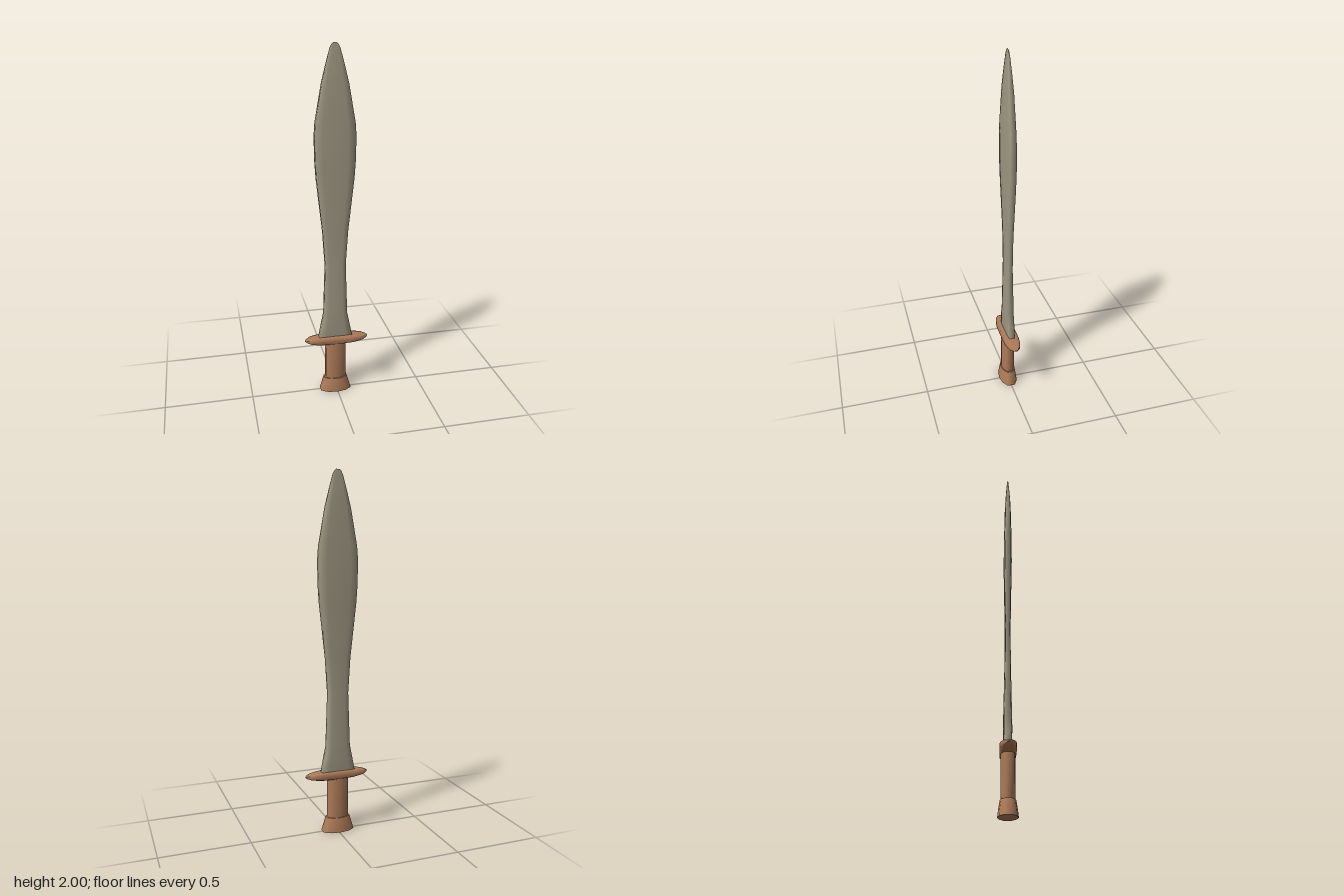
import * as THREE from 'three';

// Lofts a closed section (unit x/z points) through rings [y, halfWidth, halfDepth], with flat end caps.
function loft(section, rings) {
  const n = section.length, pos = [], idx = [];
  const addRing = ([y, w, d]) => section.forEach(([x, z]) => pos.push(x * w, y, z * d));
  rings.forEach(addRing);
  for (let i = 0; i < rings.length - 1; i++) {
    for (let j = 0; j < n; j++) {
      const a = i * n + j, b = i * n + (j + 1) % n;
      idx.push(a, a + n, b, b, a + n, b + n);
    }
  }
  // caps use their own vertices so the rim stays sharp
  const bottom = rings.length * n, top = bottom + n;
  addRing(rings[0]);
  addRing(rings[rings.length - 1]);
  for (let j = 1; j < n - 1; j++) {
    idx.push(bottom, bottom + j, bottom + j + 1);
    idx.push(top, top + j + 1, top + j);
  }
  const geo = new THREE.BufferGeometry();
  geo.setAttribute('position', new THREE.Float32BufferAttribute(pos, 3));
  geo.setIndex(idx);
  geo.computeVertexNormals();
  return geo;
}

// Mirrors a quarter section, listed from the +x side to the +z tip, into a full loop.
function mirrorSection(quarter) {
  const half = [...quarter, ...quarter.filter(([x]) => x > 0).reverse().map(([x, z]) => [-x, z])];
  const back = half.filter(([, z]) => z > 0).reverse().map(([x, z]) => [x, -z]);
  return [...half, ...back];
}

export function createModel() {
  const model = new THREE.Group();
  const steel = new THREE.MeshStandardMaterial({ color: 0xa09884 });
  steel.name = 'steel';
  const bronze = new THREE.MeshStandardMaterial({ color: 0xad7b59 });
  bronze.name = 'bronze';

  const add = (name, geo, material, x = -0.006, y = 0, z = 0) => {
    const mesh = new THREE.Mesh(geo, material);
    mesh.name = name;
    mesh.position.set(x, y, z);
    model.add(mesh);
  };

  const bladeSection = mirrorSection([[1, 0.72], [0.62, 0.95], [0, 1]]);
  const gripSection = mirrorSection([[1, 0.4], [0.58, 0.84], [0, 1]]);
  const guardSection = mirrorSection([[1, 0.7], [0.7, 1]]);

  // leaf-shaped blade
  add('blade', loft(bladeSection, [
    [0.35, 0.097, 0.021], [0.43, 0.081, 0.024], [0.5, 0.067, 0.023], [0.8, 0.058, 0.017],
    [1.0, 0.071, 0.016], [1.3, 0.103, 0.021], [1.4, 0.109, 0.023], [1.53, 0.111, 0.022],
    [1.6, 0.106, 0.021], [1.8, 0.071, 0.017], [1.9, 0.047, 0.011], [1.975, 0.027, 0.005],
    [1.993, 0.018, 0.003], [2.0, 0.009, 0.002],
  ]), steel, -0.006, 0, -0.002);

  // lens-shaped crossguard, lofted sideways
  const guardHalf = [[0, 0.023, 0.043], [0.085, 0.021, 0.043], [0.125, 0.017, 0.038],
    [0.153, 0.013, 0.031], [0.176, 0.007, 0.014], [0.184, 0.002, 0.004]];
  const guardRings = [...guardHalf.slice(1).reverse().map(([t, w, d]) => [-t, w, d]), ...guardHalf];
  add('crossguard', loft(guardSection, guardRings).rotateZ(-Math.PI / 2), bronze, 0, 0.333);

  // oval grip and flared pommel
  add('grip', loft(gripSection, [[0.07, 0.058, 0.037], [0.32, 0.058, 0.037]]), bronze);
  add('pommel', loft(gripSection, [[0, 0.09, 0.053], [0.035, 0.08, 0.049], [0.083, 0.067, 0.041]]), bronze);

  return model;
}
